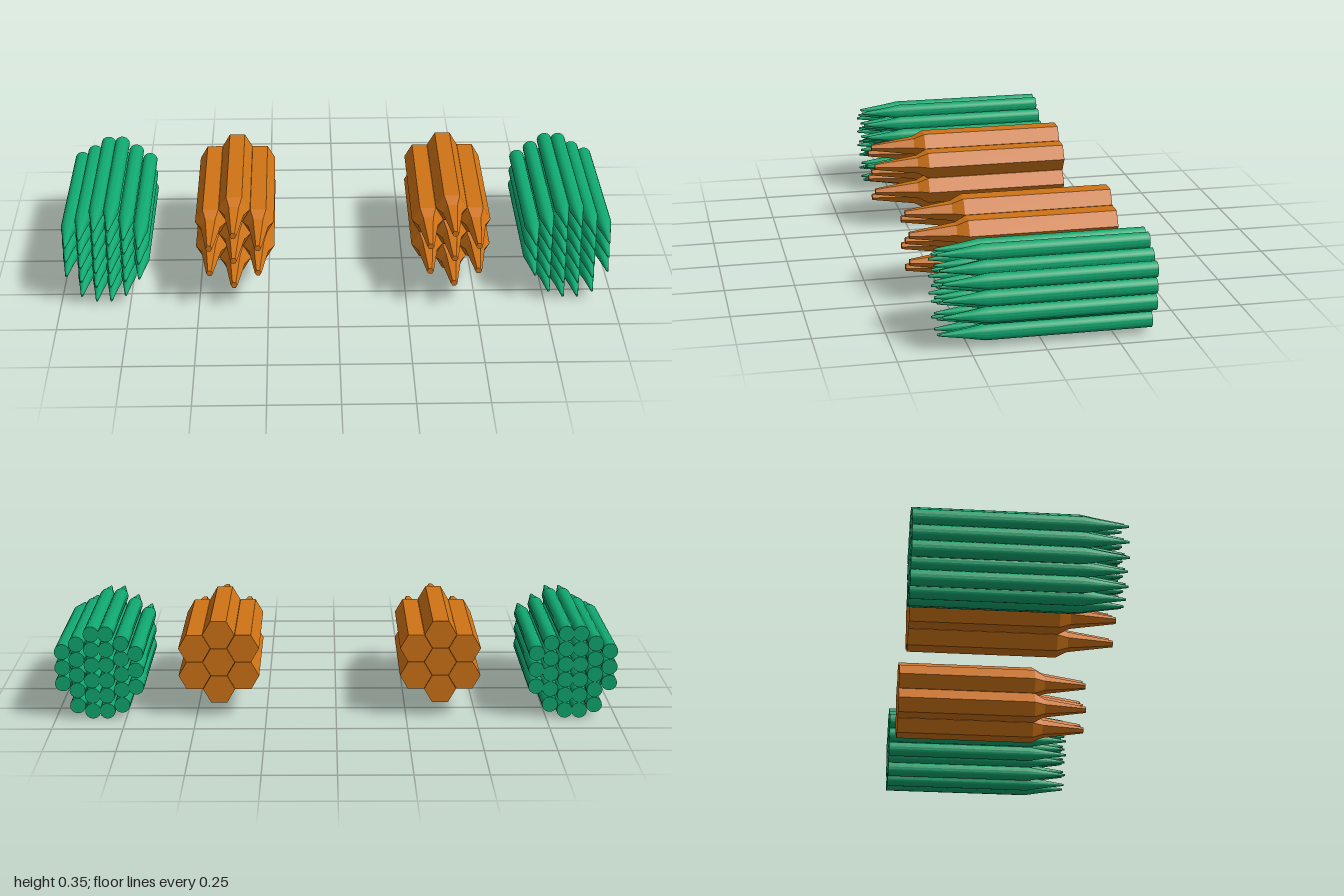
import * as THREE from 'three';
import { toCreasedNormals } from 'three/addons/utils/BufferGeometryUtils.js';

const green = new THREE.MeshStandardMaterial({ color: 0x10a870 });
const orange = new THREE.MeshStandardMaterial({ color: 0xd07416, flatShading: true });

// A closed shaft turned from [radius, z] points, running back to front along z
function shaft(profile, sides) {
  const points = profile.map(([r, z]) => new THREE.Vector2(r, z));
  return new THREE.LatheGeometry(points, sides).rotateY(Math.PI / 2).rotateX(Math.PI / 2);
}

// Places one shaft at every [x, y] centre
function bundle(name, partName, geometry, material, centres) {
  const group = new THREE.Group();
  group.name = name;
  for (const [x, y] of centres) {
    const mesh = new THREE.Mesh(geometry, material);
    mesh.name = partName;
    mesh.position.set(x, y, 0);
    group.add(mesh);
  }
  return group;
}

// Round spikes: stacked columns, [x, lowest y, count], from inner to outer side
function roundCentres(side) {
  const columns = [
    [-0.13, 0.117, 3], [-0.079, 0.05, 5], [-0.026, 0.028, 6],
    [0.026, 0.028, 6], [0.079, 0.048, 5], [0.13, 0.13, 3],
  ];
  return columns.flatMap(([x, y, count]) => {
    const step = count === 3 ? 0.061 - (x > 0 ? 0.003 : 0) : 0.0565;
    return Array.from({ length: count }, (_, i) => [side * (0.842 + x), y + i * step]);
  });
}

// Hexagonal spikes: one in the middle with six around it
function hexCentres(cx) {
  const centres = [[cx, 0.203]];
  for (let i = 0; i < 6; i++) {
    const a = Math.PI / 6 + i * Math.PI / 3;
    centres.push([cx + 0.1 * Math.cos(a), 0.203 + 0.1 * Math.sin(a)]);
  }
  return centres;
}

export function createModel() {
  const model = new THREE.Group();
  model.name = 'spikeBundles';

  const roundSpike = toCreasedNormals(shaft([
    [0, -0.375], [0.028, -0.375], [0.028, 0.195], [0.018, 0.252], [0.004, 0.345], [0, 0.345],
  ], 18), 0.6);
  const hexSpike = shaft([
    [0, -0.357], [0.057, -0.357], [0.057, 0.172], [0.036, 0.212], [0.012, 0.375], [0, 0.375],
  ], 6);

  model.add(
    bundle('leftRoundBundle', 'roundSpike', roundSpike, green, roundCentres(1)),
    bundle('rightRoundBundle', 'roundSpike', roundSpike, green, roundCentres(-1)),
    bundle('leftHexBundle', 'hexSpike', hexSpike, orange, hexCentres(0.418)),
    bundle('rightHexBundle', 'hexSpike', hexSpike, orange, hexCentres(-0.371)),
  );
  return model;
}
